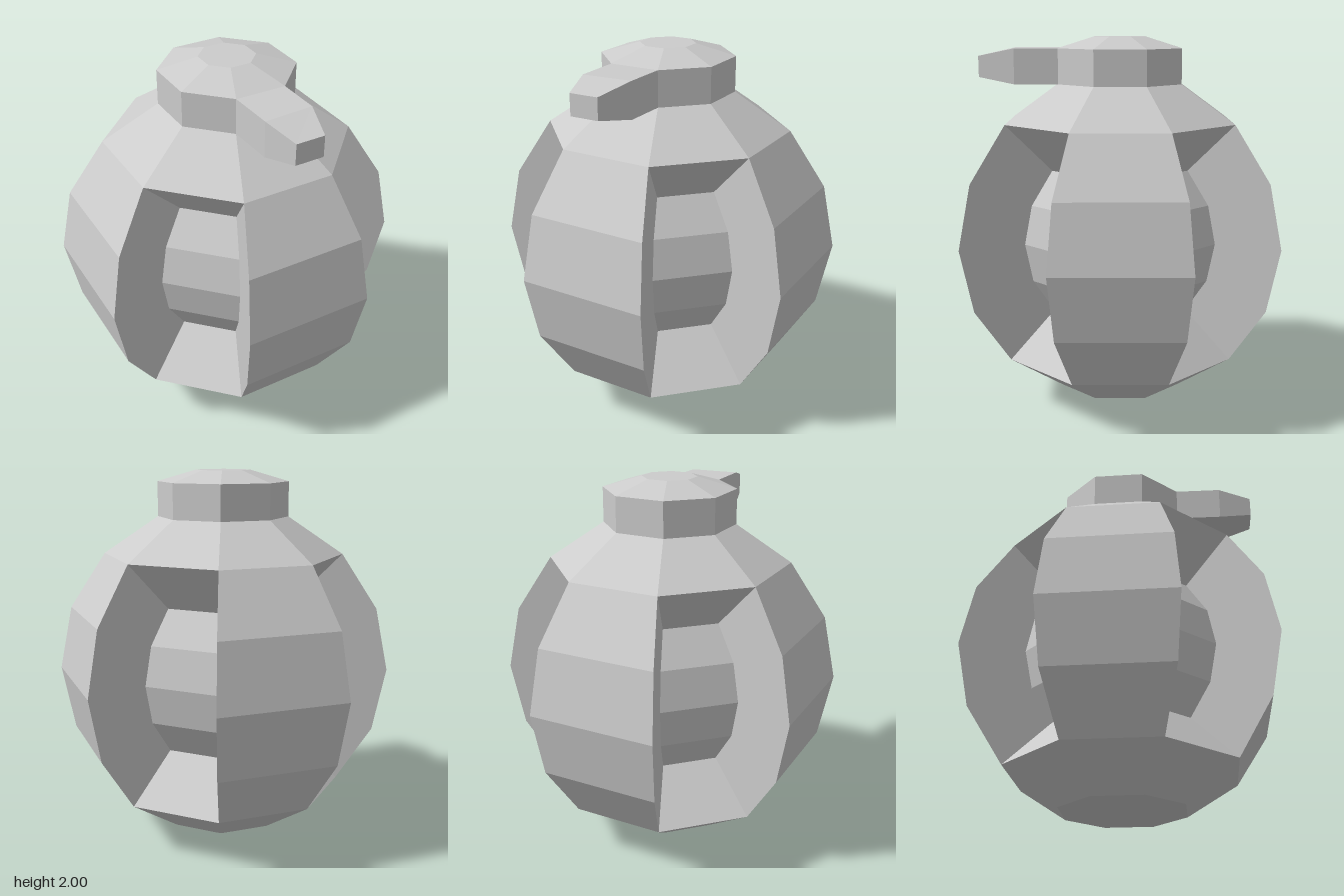
import * as THREE from 'three';

const SIDES = 8;
const CENTRE = 0.91;   // height of the ball's centre
const INSET = 0.605;   // scale of the recessed core
// [radius, height] rings of the ball, bottom to top
const BALL = [[0, 0], [0.35, 0.075], [0.645, 0.27], [0.84, 0.565], [0.91, 0.91],
  [0.84, 1.255], [0.645, 1.555], [0.35, 1.755]];
const CAP = [[0.35, 1.755], [0.35, 1.94], [0.145, 2], [0, 2]];
const BAND = BALL.slice(2, 7);
const CORE = BAND.map(([r, y]) => [r * INSET, CENTRE + (y - CENTRE) * INSET]);

// point of a ring at corner k, starting at the front and turning to the left side
function at([r, y], k) {
  const a = (k % SIDES) * 2 * Math.PI / SIDES;
  return [r * Math.sin(a), y, r * Math.cos(a)];
}

// flat shaded mesh from four-cornered faces
function facetMesh(name, quads) {
  const pos = quads.flatMap(([a, b, c, d]) => [...a, ...b, ...c, ...a, ...c, ...d]);
  const geo = new THREE.BufferGeometry();
  geo.setAttribute('position', new THREE.Float32BufferAttribute(pos, 3));
  geo.computeVertexNormals();
  const mesh = new THREE.Mesh(geo, new THREE.MeshStandardMaterial({ color: 0xcccccc, flatShading: true }));
  mesh.name = name;
  return mesh;
}

// faces of one column between neighbouring rings
function column(rings, k) {
  return rings.slice(1).map((top, j) =>
    [at(rings[j], k), at(rings[j], k + 1), at(top, k + 1), at(top, k)]);
}

// radial walls, floor and ceiling of one recess
function recessWalls(k) {
  const quads = [];
  const last = BAND.length - 1;
  for (let j = 0; j < last; j++) {
    quads.push([at(BAND[j], k), at(CORE[j], k), at(CORE[j + 1], k), at(BAND[j + 1], k)]);
    quads.push([at(CORE[j], k + 1), at(BAND[j], k + 1), at(BAND[j + 1], k + 1), at(CORE[j + 1], k + 1)]);
  }
  quads.push([at(BAND[0], k), at(BAND[0], k + 1), at(CORE[0], k + 1), at(CORE[0], k)]);
  quads.push([at(CORE[last], k), at(CORE[last], k + 1), at(BAND[last], k + 1), at(BAND[last], k)]);
  return quads;
}

// lever section: a rectangle between two plan points
function section([x0, z0], [x1, z1], low, high) {
  return [[x0, low, z0], [x1, low, z1], [x1, high, z1], [x0, high, z0]];
}

export function createModel() {
  const model = new THREE.Group();
  model.name = 'ribbedBall';

  const shell = [], panels = [], recesses = [], cap = [];
  for (let k = 0; k < SIDES; k++) {
    shell.push(...column(BALL.slice(0, 3), k), ...column(BALL.slice(6), k));
    if (k % 2 === 0) panels.push(...column(BAND, k));
    else recesses.push(...column(CORE, k), ...recessWalls(k));
    // the lever grows out of the first side of the cap
    cap.push(...column(CAP, k).slice(k === 0 ? 1 : 0));
  }

  // lever, tapering towards its tip
  const sections = [
    section([0, 0.35], [0.247, 0.247], 1.755, 1.94),
    section([0.1, 0.575], [0.335, 0.46], 1.755, 1.94),
    section([0.215, 0.72], [0.355, 0.66], 1.79, 1.9),
  ];
  const lever = [sections[2]];
  for (let s = 0; s < 2; s++) {
    const a = sections[s], b = sections[s + 1];
    for (let i = 0; i < 4; i++) {
      const j = (i + 1) % 4;
      lever.push([a[i], a[j], b[j], b[i]]);
    }
  }

  model.add(
    facetMesh('topAndBottomShell', shell),
    facetMesh('raisedPanels', panels),
    facetMesh('recesses', recesses),
    facetMesh('cap', cap),
    facetMesh('lever', lever),
  );
  return model;
}
